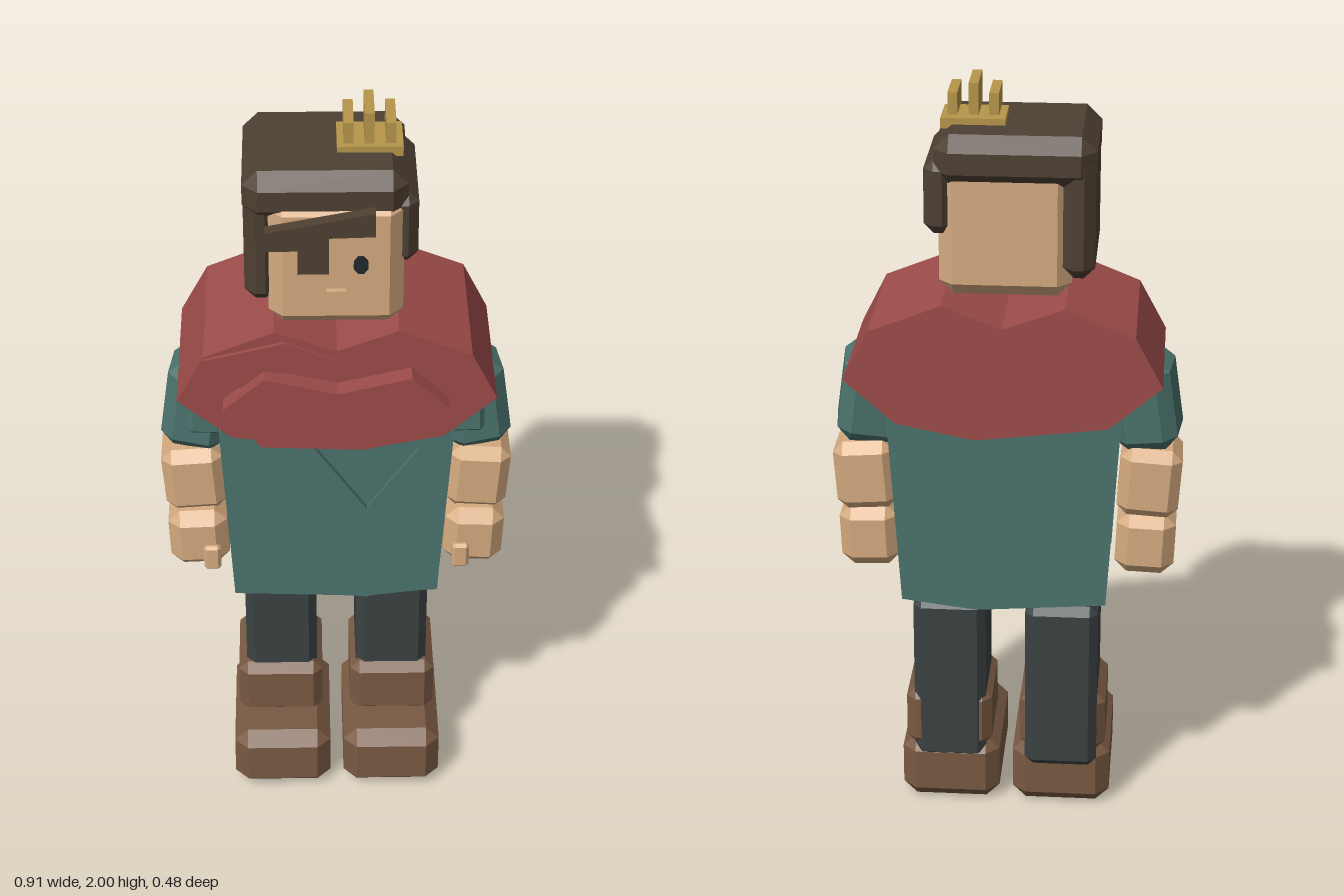
import * as THREE from 'three';
import { ConvexGeometry } from 'three/addons/geometries/ConvexGeometry.js';

const mat = (name, color) => {
  const m = new THREE.MeshStandardMaterial({ color });
  m.name = name;
  return m;
};

export function createModel() {
  const model = new THREE.Group();
  model.name = 'villager';
  const skin = mat('skin', 0xd6ab80);
  const hair = mat('dark brown hair', 0x4e4033);
  const red = mat('red cloth', 0x9c4c49);
  const teal = mat('teal cloth', 0x4b736e);
  const pants = mat('charcoal cloth', 0x3b4243);
  const leather = mat('brown leather', 0x795a43);
  const gold = mat('gold', 0xb8964a);
  const ink = mat('eye black', 0x22282c);

  const add = (name, geometry, material, parent = model) => {
    const mesh = new THREE.Mesh(geometry, material);
    mesh.name = name;
    parent.add(mesh);
    return mesh;
  };

  // Box with flat cut edges, given by its limits on each axis
  const block = (name, [x0, x1], [y0, y1], [z0, z1], c, material, parent) => {
    const hx = (x1 - x0) / 2, hy = (y1 - y0) / 2, hz = (z1 - z0) / 2;
    let geometry;
    if (c > 0) {
      const pts = [];
      for (const i of [-1, 1]) for (const j of [-1, 1]) for (const k of [-1, 1]) {
        pts.push(
          new THREE.Vector3(i * hx, j * (hy - c), k * (hz - c)),
          new THREE.Vector3(i * (hx - c), j * hy, k * (hz - c)),
          new THREE.Vector3(i * (hx - c), j * (hy - c), k * hz));
      }
      geometry = new ConvexGeometry(pts);
    } else {
      geometry = new THREE.BoxGeometry(2 * hx, 2 * hy, 2 * hz);
    }
    const mesh = add(name, geometry, material, parent);
    mesh.position.set((x0 + x1) / 2, (y0 + y1) / 2, (z0 + z1) / 2);
    return mesh;
  };

  // Outline in x and y, extruded from z0 to z1
  const slab = (name, points, z0, z1, material) => {
    const shape = new THREE.Shape(points.map(([x, y]) => new THREE.Vector2(x, y)));
    const geometry = new THREE.ExtrudeGeometry(shape, { depth: z1 - z0, bevelEnabled: false });
    geometry.translate(0, 0, z0);
    return add(name, geometry, material);
  };

  // Head and face
  block('head', [-0.167, 0.163], [1.48, 1.83], [-0.185, 0.165], 0.035, skin);
  block('mouth', [-0.027, 0.022], [1.575, 1.594], [0.16, 0.18], 0, skin);
  for (const x of [-0.062, 0.058]) {
    const eye = add('eye', new THREE.CylinderGeometry(0.02, 0.02, 0.008, 8), ink);
    eye.geometry.rotateY(Math.PI / 8).rotateX(Math.PI / 2).scale(0.95, 1.25, 1);
    eye.position.set(x, 1.662, 0.168);
  }

  // Hair
  block('hairCap', [-0.227, 0.172], [1.765, 1.895], [-0.207, 0.155], 0.038, hair);
  block('leftSideHair', [0.125, 0.198], [1.64, 1.83], [-0.187, 0.135], 0.025, hair);
  block('rightSideHair', [-0.225, -0.145], [1.535, 1.85], [-0.2, 0.14], 0.028, hair);
  slab('fringe', [[-0.174, 1.77], [-0.174, 1.72], [-0.095, 1.72], [-0.095, 1.655],
    [-0.02, 1.655], [-0.02, 1.755], [0.092, 1.758], [0.092, 1.822]], 0.165, 0.198, hair);

  // Small crown, tipped to one side of the head
  block('crownBase', [0.002, 0.162], [1.885, 1.911], [-0.089, 0.034], 0, gold);
  [[0.03, 1.975], [0.08, 2], [0.132, 1.975]].forEach(([x, top]) =>
    block('crownSpike', [x - 0.012, x + 0.012], [1.92, top], [-0.086, 0.034], 0, gold));

  // Cape and its front folds
  slab('cape', [[-0.155, 1.476], [-0.33, 1.405], [-0.4, 1.275], [-0.265, 1.16], [0.07, 1.12],
    [0.27, 1.16], [0.4, 1.275], [0.335, 1.405], [0.152, 1.478], [0, 1.42]], -0.24, 0.18, red);
  slab('capeFrontFold', [[-0.283, 1.28], [-0.19, 1.165], [0.07, 1.155], [0.2, 1.19], [0.28, 1.28],
    [0.185, 1.37], [0, 1.325], [-0.18, 1.37]], 0.18, 0.23, red);
  slab('capeShoulderFold', [[-0.36, 1.3], [-0.24, 1.32], [-0.17, 1.355], [0, 1.395],
    [-0.13, 1.45], [-0.33, 1.4]], 0.18, 0.19, red);

  // Tunic with two overlapping front panels
  slab('tunic', [[-0.3, 1.2], [-0.265, 0.645], [0.07, 0.62], [0.265, 0.645], [0.3, 1.2]],
    -0.2, 0.16, teal);
  slab('rightTunicPanel', [[-0.298, 1.18], [-0.268, 0.65], [0.072, 0.637], [0.078, 0.925], [-0.06, 1.125],
    [-0.06, 1.18]], 0.16, 0.178, teal);
  slab('leftTunicPanel', [[0.078, 0.925], [0.072, 0.625], [0.125, 0.64], [0.265, 0.65], [0.29, 1.18],
    [0.21, 1.18], [0.21, 1.115]], 0.16, 0.17, teal);

  for (const s of [-1, 1]) {
    const side = s > 0 ? 'left' : 'right';
    const span = (a, b) => (s > 0 ? [a, b] : [-b, -a]);

    // Arm
    const arm = new THREE.Group();
    arm.name = side + 'Arm';
    model.add(arm);
    const sleeve = block('sleeve', span(0.27, 0.435), [1.03, 1.28], [-0.1, 0.075], 0.035, teal, arm);
    sleeve.rotation.set(-0.04, s * 0.12, s * 0.14);
    const fold = block('sleeveFold', span(0.29, 0.378), [1.1, 1.25], [-0.01, 0.088], 0.012, teal, arm);
    fold.rotation.z = s * 0.03;
    const forearm = block('forearm', span(0.29, 0.45), [0.845, 1.035], [-0.1, 0.085], 0.028, skin, arm);
    forearm.rotation.z = -s * 0.07;
    const hand = block('hand', span(0.285, 0.44), [0.68, 0.852], [-0.1, 0.112], 0.032, skin, arm);
    hand.rotation.z = -s * 0.04;
    block('thumb', span(0.305, 0.35), [0.685, 0.76], [0.06, 0.125], 0.008, skin, arm);

    // Leg and boot
    const leg = new THREE.Group();
    leg.name = side + 'Leg';
    model.add(leg);
    block('trouserLeg', span(0.053, 0.245), [0.13, 0.61], [s > 0 ? -0.142 : -0.165, 0.095], 0.022, pants, leg);
    block('bootShaft', span(0.038, 0.267), [0.165, 0.335], [-0.138, 0.118], 0.025, leather, leg);
    block('bootFoot', span(0.018, 0.28), [0, 0.185], [-0.14, 0.24], 0.036, leather, leg);
  }
  return model;
}
